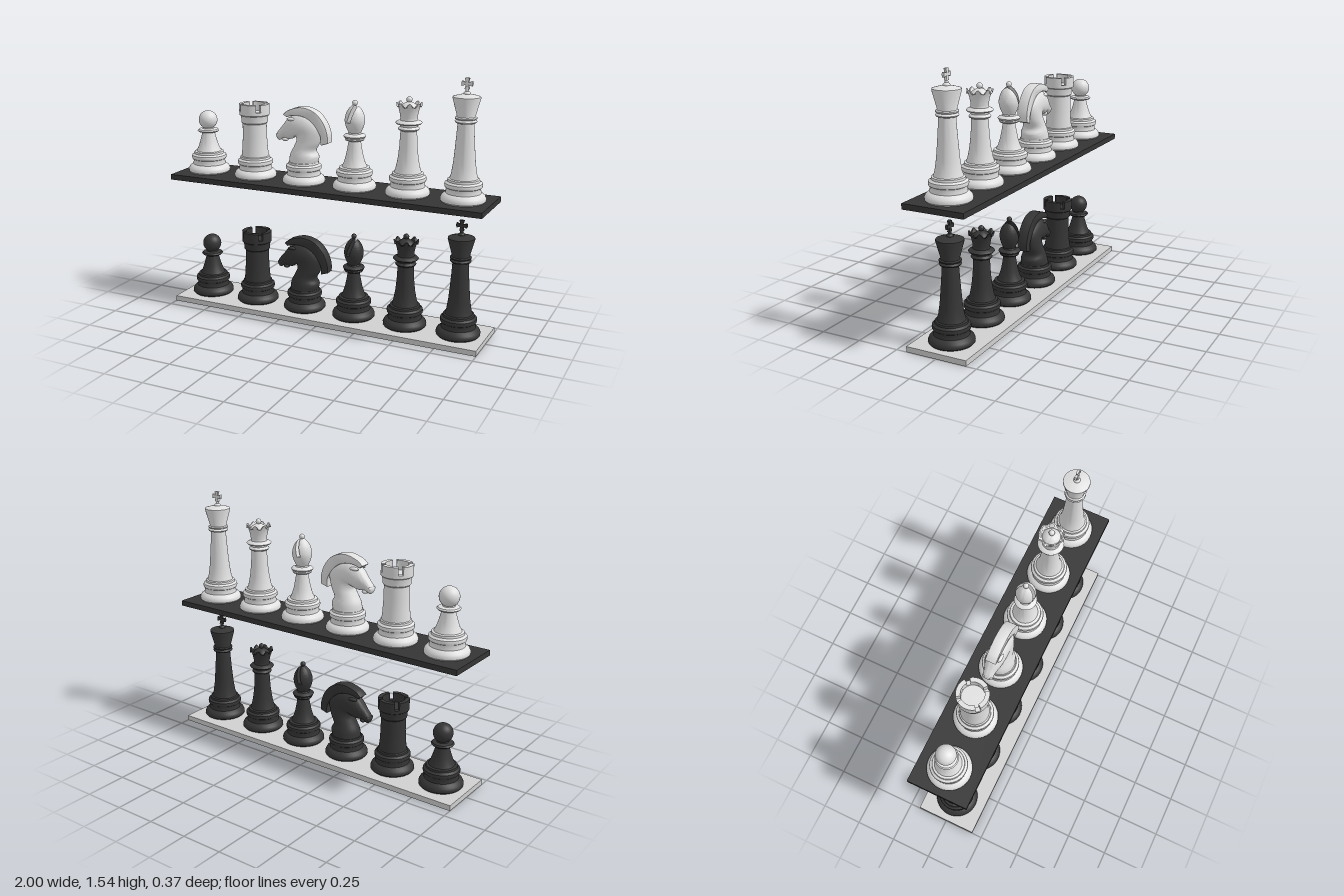
import * as THREE from 'three';
import { toCreasedNormals } from 'three/addons/utils/BufferGeometryUtils.js';

const v2 = ([x, y]) => new THREE.Vector2(x, y);

// Turned part from [radius, height] pairs, bottom to top
const turned = (pts, segs = 40) =>
  toCreasedNormals(new THREE.LatheGeometry(pts.map(v2), segs), 0.6);

// Skin over closed rings of points, with both ends capped
function loft(rings, crease) {
  const n = rings[0].length, m = rings.length, pos = [], idx = [];
  rings.forEach(r => r.forEach(p => pos.push(p.x, p.y, p.z)));
  for (const r of [rings[0], rings[m - 1]]) {
    const c = new THREE.Vector3();
    r.forEach(p => c.addScaledVector(p, 1 / n));
    pos.push(c.x, c.y, c.z);
  }
  for (let j = 0; j < n; j++) {
    const k = (j + 1) % n;
    for (let i = 0; i < m - 1; i++) {
      const a = i * n + j, b = i * n + k;
      idx.push(a, b, b + n, a, b + n, a + n);
    }
    idx.push(m * n, k, j, m * n + 1, (m - 1) * n + j, (m - 1) * n + k);
  }
  const g = new THREE.BufferGeometry();
  g.setAttribute('position', new THREE.Float32BufferAttribute(pos, 3));
  g.setIndex(idx);
  g.computeVertexNormals();
  return toCreasedNormals(g, crease);
}

const ball = (r, x, y, z = 0, sx = 1, sy = 1, sz = 1) =>
  new THREE.SphereGeometry(r, 28, 18).scale(sx, sy, sz).translate(x, y, z);

// Moulded foot shared by all pieces
const foot = [[0, 0], [0.122, 0], [0.129, 0.008], [0.13, 0.02], [0.124, 0.034], [0.112, 0.045], [0.101, 0.052],
  [0.098, 0.07], [0.1, 0.082], [0.106, 0.086], [0.108, 0.097], [0.106, 0.108], [0.098, 0.112], [0.092, 0.118], [0.09, 0.13]];
const onFoot = (...pts) => turned([...foot, ...pts]);

function pawn() {
  return {
    body: onFoot([0.077, 0.134], [0.066, 0.155], [0.054, 0.19], [0.044, 0.225], [0.039, 0.25], [0.06, 0.254],
      [0.067, 0.262], [0.06, 0.27], [0.036, 0.275], [0.03, 0.29], [0, 0.3]),
    head: ball(0.058, 0, 0.328),
  };
}

function rook() {
  const parts = {
    body: onFoot([0.083, 0.134], [0.078, 0.18], [0.074, 0.25], [0.073, 0.335], [0.08, 0.342], [0.081, 0.365],
      [0.085, 0.385], [0.092, 0.39], [0.092, 0.41], [0.066, 0.41], [0.066, 0.4], [0, 0.4]),
  };
  // Four battlements with gaps on the diagonals
  for (let i = 0; i < 4; i++) {
    const a = i * Math.PI / 2 - 0.63, b = a + 1.26;
    const s = new THREE.Shape();
    s.absarc(0, 0, 0.092, a, b, false);
    s.absarc(0, 0, 0.066, b, a, true);
    const g = new THREE.ExtrudeGeometry(s, { depth: 0.047, bevelEnabled: false, curveSegments: 12 });
    parts['battlement' + (i + 1)] = toCreasedNormals(g.rotateX(-Math.PI / 2).translate(0, 0.408, 0), 0.6);
  }
  return parts;
}

function knight() {
  // Cross-sections: throat side x, y, nape side x, y, half thickness
  const sections = [
    [-0.088, 0.125, 0.088, 0.125, 0.085], [-0.083, 0.17, 0.097, 0.163, 0.08], [-0.057, 0.222, 0.08, 0.198, 0.068],
    [-0.043, 0.258, 0.108, 0.255, 0.06], [-0.05, 0.28, 0.12, 0.34, 0.055], [-0.072, 0.262, 0.04, 0.405, 0.056],
    [-0.1, 0.258, -0.03, 0.418, 0.052], [-0.122, 0.262, -0.092, 0.39, 0.042], [-0.14, 0.256, -0.135, 0.34, 0.033],
    [-0.158, 0.246, -0.168, 0.3, 0.03], [-0.168, 0.252, -0.178, 0.28, 0.018],
  ];
  const low = new THREE.CatmullRomCurve3(sections.map(s => new THREE.Vector3(s[0], s[1], s[4])));
  const high = new THREE.CatmullRomCurve3(sections.map(s => new THREE.Vector3(s[2], s[3], 0)));
  const rings = [];
  for (let i = 0; i <= 44; i++) {
    const a = low.getPoint(i / 44), b = high.getPoint(i / 44), ring = [];
    for (let j = 0; j < 28; j++) {
      const t = j / 28 * Math.PI * 2, c = (1 + Math.cos(t)) / 2;
      ring.push(new THREE.Vector3(a.x + (b.x - a.x) * c, a.y + (b.y - a.y) * c, -Math.sin(t) * a.z));
    }
    rings.push(ring);
  }
  // Arched crest from forehead to nape
  const mane = new THREE.Shape();
  mane.moveTo(-0.114, 0.41);
  mane.splineThru([[-0.08, 0.435], [0, 0.455], [0.08, 0.435], [0.136, 0.382], [0.165, 0.315], [0.168, 0.26]].map(v2));
  mane.lineTo(0.132, 0.248);
  mane.splineThru([[0.127, 0.3], [0.085, 0.365], [0.03, 0.403], [-0.04, 0.414], [-0.1, 0.4]].map(v2));
  const crest = new THREE.ExtrudeGeometry(mane, {
    depth: 0.056, bevelEnabled: true, bevelSize: 0.005, bevelThickness: 0.005, bevelSegments: 2, curveSegments: 24,
  }).translate(0, 0, -0.028);
  const parts = {
    foot: onFoot([0, 0.132]),
    neckAndHead: loft(rings, 1),
    mane: toCreasedNormals(crest, 0.6),
    chin: ball(0.018, -0.122, 0.256, 0, 1.1, 0.8, 1.3),
  };
  for (const s of [-1, 1]) {
    const n = s > 0 ? 'Left' : 'Right';
    parts['brow' + n] = ball(0.02, -0.065, 0.385, s * 0.034, 1.5, 0.5, 0.7);
    parts['nostril' + n] = ball(0.012, -0.163, 0.28, s * 0.02, 1, 1, 0.9);
  }
  return parts;
}

function bishop() {
  const slotY = 0.395;
  const profile = new THREE.SplineCurve([[0.036, 0.335], [0.05, 0.365], [0.058, slotY], [0.058, 0.42],
    [0.05, 0.45], [0.034, 0.477], [0.013, 0.497]].map(v2));
  const pts = profile.getPoints(36).map(p => [p.x, p.y]);
  const upper = pts.filter(p => p[1] >= slotY - 1e-6);
  // One half of the mitre beside the leaning slot
  const lobe = side => loft(upper.map(([r, y]) => {
    const cut = -0.018 + (y - slotY) * 0.3 + side * 0.011;
    const half = Math.acos(THREE.MathUtils.clamp(side * cut / r, -0.999, 0.999));
    const ring = [];
    for (let j = 0; j <= 32; j++) {
      const t = (side > 0 ? 0 : Math.PI) + half * (j / 16 - 1);
      ring.push(new THREE.Vector3(r * Math.cos(t), y, -r * Math.sin(t)));
    }
    return ring;
  }), 0.6);
  return {
    body: onFoot([0.074, 0.134], [0.064, 0.155], [0.052, 0.195], [0.042, 0.245], [0.036, 0.285], [0.054, 0.29],
      [0.058, 0.297], [0.054, 0.303], [0.062, 0.307], [0.066, 0.315], [0.06, 0.322], [0.04, 0.328],
      ...pts.filter(p => p[1] <= upper[0][1] + 1e-6), [0, upper[0][1]]),
    mitreRight: lobe(-1),
    mitreLeft: lobe(1),
    finial: ball(0.016, 0, 0.508),
  };
}

function queen() {
  // Crown rim scalloped into eight points
  const crown = new THREE.LatheGeometry([[0.048, 0.43], [0.05, 0.46], [0.056, 0.49], [0.064, 0.515], [0.074, 0.537],
    [0.066, 0.537], [0.055, 0.51], [0.03, 0.505]].map(v2), 96);
  const p = crown.attributes.position;
  for (let i = 0; i < p.count; i++) {
    const wave = (1 + Math.cos(8 * Math.atan2(p.getZ(i), p.getX(i)))) / 2;
    if (p.getY(i) > 0.53) p.setY(i, p.getY(i) - 0.024 * wave);
  }
  return {
    body: onFoot([0.078, 0.134], [0.07, 0.16], [0.06, 0.21], [0.052, 0.28], [0.047, 0.375], [0.058, 0.38],
      [0.062, 0.387], [0.056, 0.395], [0.05, 0.4], [0.052, 0.41], [0.07, 0.414], [0.076, 0.421], [0.07, 0.428],
      [0.05, 0.436], [0.048, 0.46], [0, 0.46]),
    crown: toCreasedNormals(crown, 0.6),
    dome: turned([[0.057, 0.5], [0.045, 0.52], [0.028, 0.532], [0.01, 0.54], [0, 0.54]]),
    finial: ball(0.017, 0, 0.552),
  };
}

function king() {
  // Cross with flared arms
  const arm = [[0.007, 0.007], [0.03, 0.014], [0.033, 0], [0.03, -0.014]];
  const cross = [];
  for (let i = 0; i < 4; i++) {
    const c = Math.round(Math.cos(i * Math.PI / 2)), s = Math.round(Math.sin(i * Math.PI / 2));
    for (const [x, y] of [...arm].reverse()) cross.push(v2([x * c - y * s, x * s + y * c]));
  }
  // Order each arm counter-clockwise about the centre
  cross.sort((a, b) => Math.atan2(a.y, a.x) - Math.atan2(b.y, b.x));
  const crossGeo = new THREE.ExtrudeGeometry(new THREE.Shape(cross), { depth: 0.014, bevelEnabled: false });
  return {
    body: onFoot([0.08, 0.134], [0.072, 0.16], [0.063, 0.22], [0.056, 0.3], [0.05, 0.38], [0.046, 0.445],
      [0.058, 0.449], [0.062, 0.456], [0.057, 0.463], [0.052, 0.466], [0.061, 0.47], [0.062, 0.477], [0.053, 0.482],
      [0.052, 0.488], [0.078, 0.584], [0.077, 0.592], [0.05, 0.6], [0.02, 0.607], [0, 0.608]),
    finial: ball(0.02, 0, 0.608, 0, 1, 0.75, 1),
    cross: crossGeo.translate(0, 0.664, -0.007),
    crossStem: new THREE.CylinderGeometry(0.008, 0.01, 0.035, 16).translate(0, 0.632, 0),
  };
}

export function createModel() {
  const mat = (name, color) => Object.assign(new THREE.MeshStandardMaterial({ color }), { name });
  const lightPiece = mat('light piece', 0xe0e0e0);
  const lightBoard = mat('light board', 0xd0d0d0);
  const dark = mat('dark', 0x353535);
  const pieces = Object.entries({ pawn, rook, knight, bishop, queen, king }).map(([n, f]) => [n, f()]);

  const model = new THREE.Group();
  model.name = 'chessSet';
  const addRow = (name, y, boardMat, pieceMat) => {
    const row = new THREE.Group();
    row.name = name;
    row.position.y = y;
    const board = new THREE.Mesh(new THREE.BoxGeometry(2, 0.033, 0.374), boardMat);
    board.name = 'board';
    board.position.y = 0.0165;
    row.add(board);
    pieces.forEach(([pieceName, parts], i) => {
      const piece = new THREE.Group();
      piece.name = pieceName;
      piece.position.set((i - 2.5) / 3, 0.033, 0);
      for (const [part, geo] of Object.entries(parts)) {
        const mesh = new THREE.Mesh(geo, pieceMat);
        mesh.name = part;
        piece.add(mesh);
      }
      row.add(piece);
    });
    model.add(row);
  };
  addRow('darkRow', 0, lightBoard, dark);
  addRow('lightRow', 0.807, dark, lightPiece);
  return model;
}
